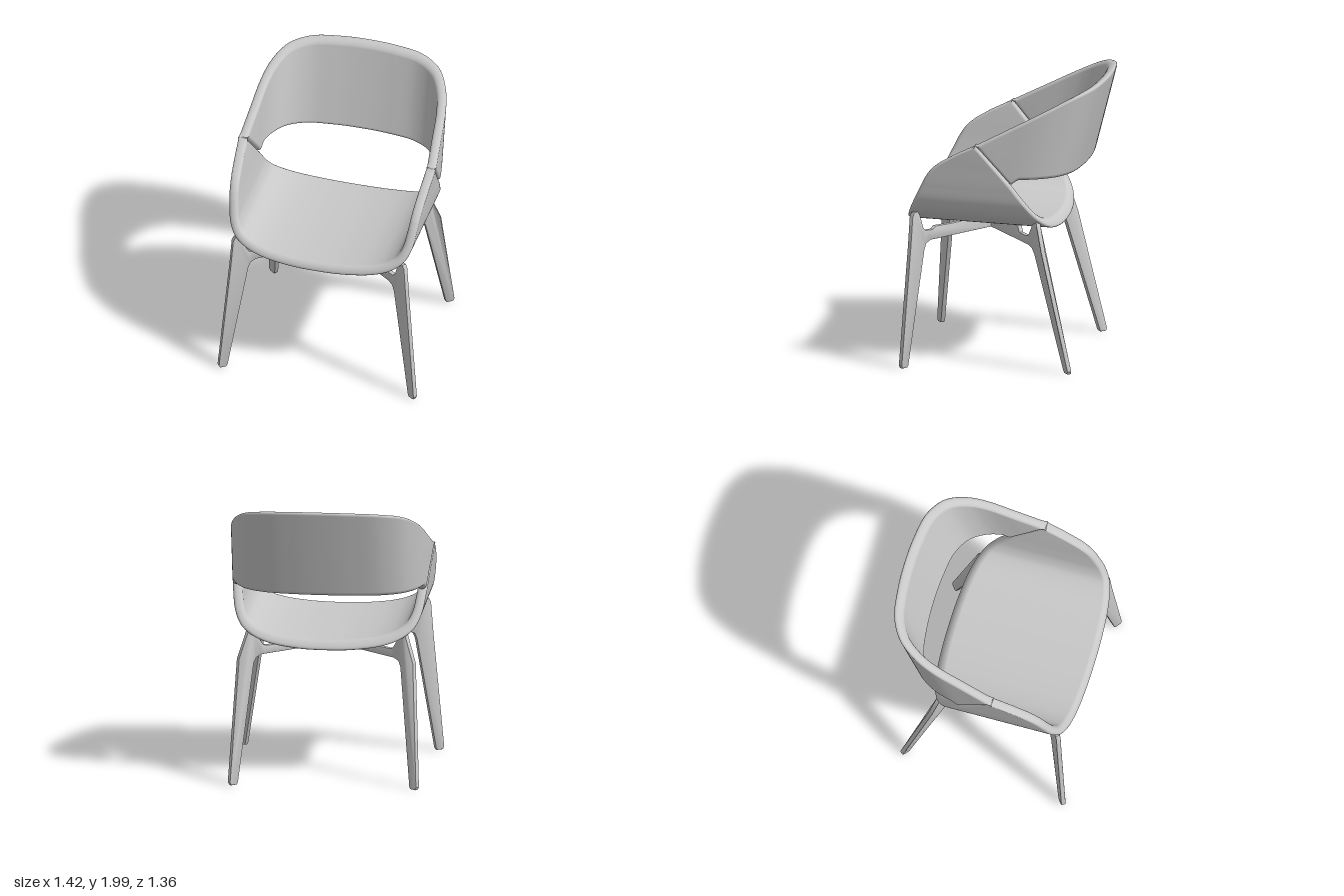
import * as THREE from 'three';
import { toCreasedNormals } from 'three/addons/utils/BufferGeometryUtils.js';

const THICK = 0.065, RIM = 0.027, SAMPLES = 220, ARC = 4;

// Piecewise-linear lookup in a list of [key, value], keys ascending
function lookup(table, k) {
  if (k <= table[0][0]) return table[0][1];
  for (let i = 1; i < table.length; i++) {
    const [k0, v0] = table[i - 1], [k1, v1] = table[i];
    if (k <= k1) return v0 + (v1 - v0) * (k - k0) / (k1 - k0);
  }
  return table[table.length - 1][1];
}

// Thick U-shaped sheet with rounded rims. half: U profile from tip to middle;
// low/high: where the sheet is trimmed along its sweep; place: maps to space.
function shell(half, low, high, place) {
  const pts = [...half, ...half.slice(0, -1).reverse().map(([a, b]) => [-a, b])];
  const curve = new THREE.CatmullRomCurve3(pts.map(([a, b]) => new THREE.Vector3(a, b, 0)), false, 'centripetal');
  curve.arcLengthDivisions = 1000;
  const pos = [], idx = [], ring = 4 * (ARC + 1);
  for (let i = 0; i <= SAMPLES; i++) {
    const p = curve.getPointAt(i / SAMPLES), d = curve.getTangentAt(i / SAMPLES);
    for (let c = 0; c < 4; c++) {
      const inner = c > 1, atHigh = c === 1 || c === 2;
      for (let k = 0; k <= ARC; k++) {
        const ang = (c % 2 ? ARC - k : k) / ARC * Math.PI / 2;
        const depth = RIM * (1 - Math.sin(ang));
        const t = inner ? THICK - depth : depth;
        const a = p.x + d.y * t, b = p.y - d.x * t;
        const lo = lookup(low, b) + 0.002, hi = Math.max(lo, lookup(high, b) - 0.002);
        const inset = Math.min(RIM, (hi - lo) / 2) * (1 - Math.cos(ang));
        pos.push(...place(a, b, atHigh ? hi - inset : lo + inset));
      }
    }
  }
  for (let i = 0; i < SAMPLES; i++) {
    for (let j = 0; j < ring; j++) {
      const a = i * ring + j, b = i * ring + (j + 1) % ring, c = a + ring, d = b + ring;
      idx.push(a, b, c, b, d, c);
    }
  }
  // Make the faces point outward
  let volume = 0;
  const v = (i) => new THREE.Vector3().fromArray(pos, i * 3);
  for (let i = 0; i < idx.length; i += 3) volume += v(idx[i]).dot(v(idx[i + 1]).cross(v(idx[i + 2])));
  if (volume < 0) idx.reverse();
  const g = new THREE.BufferGeometry();
  g.setAttribute('position', new THREE.Float32BufferAttribute(pos, 3));
  g.setIndex(idx);
  g.computeVertexNormals();
  return g;
}

// Flat leg with its half of the cross bar; splay pushes the foot sideways
function legGeometry(outline, splay) {
  const shape = new THREE.Shape(outline.map(([u, y]) => new THREE.Vector2(u, y)));
  const bevel = 0.007;
  let g = new THREE.ExtrudeGeometry(shape, {
    depth: 0.02, bevelThickness: bevel, bevelSize: bevel, bevelOffset: -bevel, bevelSegments: 2,
  });
  g.translate(0, 0, -0.01);
  const p = g.attributes.position;
  for (let i = 0; i < p.count; i++) {
    p.setZ(i, p.getZ(i) + splay * Math.max(0, 0.85 - p.getY(i)) / 0.85);
  }
  g.deleteAttribute('normal');
  g.deleteAttribute('uv');
  return toCreasedNormals(g, 0.6);
}

export function createModel() {
  const model = new THREE.Group();
  model.name = 'chair';
  const grey = new THREE.MeshStandardMaterial({ color: 0xc8c8c8 });
  grey.name = 'light grey';
  const add = (name, geometry) => {
    const mesh = new THREE.Mesh(geometry, grey);
    mesh.name = name;
    model.add(mesh);
    return mesh;
  };

  // Seat: U seen from the front, swept along z
  add('seat', shell(
    [[0.705, 1.615], [0.685, 1.45], [0.667, 1.3], [0.645, 1.19], [0.6, 1.105],
      [0.52, 1.045], [0.4, 1.002], [0.2, 0.973], [0, 0.966]],
    [[0.966, -0.385], [1.34, -0.1], [1.615, 0.14]],
    [[0.966, 0.69], [1.2, 0.58], [1.34, 0.512], [1.39, 0.482], [1.43, 0.447],
      [1.47, 0.4], [1.535, 0.295], [1.615, 0.14]],
    (a, b, w) => [a, b + 0.028 * (w - 0.69), w],
  ));

  // Backrest: U seen from above, swept upward and leaning back
  add('backrest', shell(
    [[0.705, 0.2], [0.685, 0.02], [0.66, -0.18], [0.622, -0.295], [0.54, -0.41],
      [0.4, -0.488], [0.2, -0.521], [0, -0.53]],
    [[-0.53, 1.363], [-0.155, 1.358], [-0.135, 1.345], [-0.113, 1.322], [0.2, 1.6]],
    [[-0.53, 2], [-0.494, 1.988], [-0.41, 1.957], [-0.345, 1.925], [-0.285, 1.89], [-0.183, 1.829], [0.2, 1.6]],
    (a, b, w) => [a, w, b - 0.254 * (w - 1.37)],
  ));

  // Legs: outlines are [distance from the crossing, height]
  const front = [[0.81, 0], [0.855, 0], [0.866, 0.02], [0.78, 0.85], [0.762, 1.06], [0.745, 1.088],
    [0.71, 1.088], [0.69, 1.06], [0.66, 0.97], [0.64, 0.945], [0.57, 0.94], [0.54, 0.96], [0.4, 0.955],
    [0, 0.95], [0, 0.865], [0.59, 0.868], [0.63, 0.85], [0.648, 0.81], [0.8, 0.015]];
  const back = [[0.875, 0], [0.92, 0], [0.93, 0.02], [0.778, 0.85], [0.7, 1.045], [0.685, 1.06],
    [0.665, 1.05], [0.605, 0.965], [0.58, 0.93], [0.55, 0.92], [0.45, 0.92], [0.425, 0.962], [0.3, 0.955],
    [0, 0.95], [0, 0.865], [0.59, 0.86], [0.635, 0.845], [0.66, 0.81], [0.863, 0.015]];
  for (const side of [1, -1]) {
    const label = side > 0 ? 'left' : 'right';
    for (const [name, outline, dx, dz, splay] of [
      ['FrontLeg', front, 0.813, 0.582, 0], ['BackLeg', back, 0.786, -0.618, -0.128],
    ]) {
      const leg = legGeometry(outline, splay * side);
      const along = new THREE.Vector3(side * dx, 0, dz).normalize(), up = new THREE.Vector3(0, 1, 0);
      leg.applyMatrix4(new THREE.Matrix4().makeBasis(along, up, along.clone().cross(up)));
      leg.translate(0, 0, 0.16);
      add(label + name, leg);
    }
  }
  return model;
}
